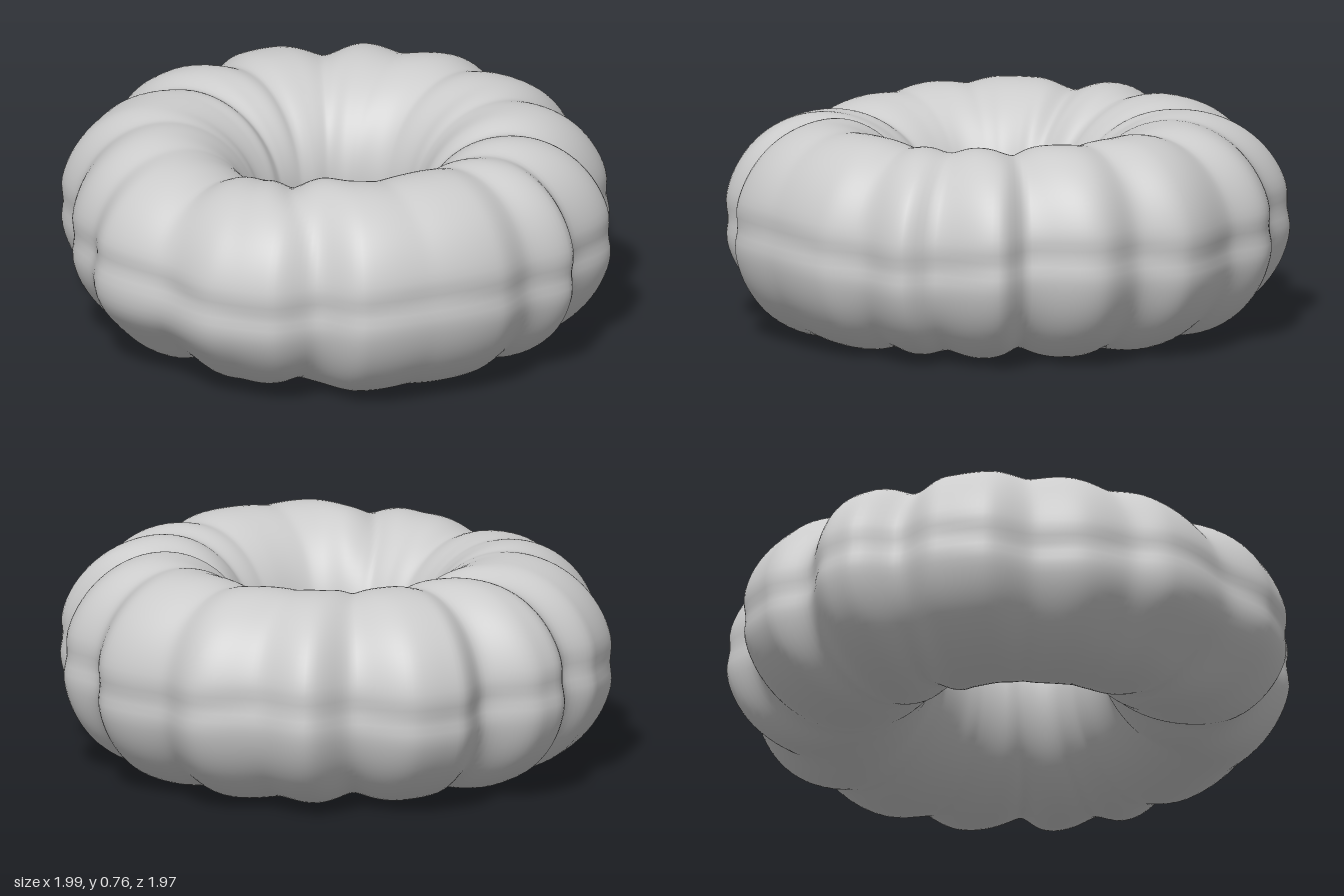
import * as THREE from 'three';

const TAU = Math.PI * 2;
const DEG = Math.PI / 180;

// Lumpy plan outlines as [x, z] points
const OUTER = [
  [.14, -.99], [.3, -.89], [.49, -.87], [.65, -.66], [.79, -.64], [.87, -.4], [.965, -.32], [.96, -.13],
  [1, .03], [.95, .29], [.86, .53], [.69, .63], [.61, .79], [.43, .9], [.19, .93], [-.11, .975],
  [-.26, .9], [-.41, .86], [-.56, .73], [-.74, .65], [-.84, .49], [-.85, .34], [-.99, .19], [-1, .11],
  [-.91, -.09], [-.965, -.25], [-.925, -.4], [-.735, -.56], [-.69, -.75], [-.5, -.82], [-.32, -.96], [-.13, -.95],
];
const INNER = [
  [.33, 0], [.31, -.13], [.19, -.23], [.07, -.285], [-.06, -.28], [-.16, -.19], [-.21, -.08],
  [-.21, .08], [-.18, .18], [-.1, .27], [.01, .29], [.17, .24], [.31, .14],
];

// Creases between lobes: outer angle, inner angle (degrees), depth
const SEAMS = [
  [-71, -68, .018], [-45, -42, .038], [-25, -20, .028], [-8, -6, .025], [17, 25, .01], [43, 60, .04],
  [60, 72, .01], [80, 84, .035], [106, 106, .012], [128, 128, .014], [160, 167, .036], [186, 190, .028],
  [217, 214, .026], [239, 236, .012], [262, 260, .024],
];

const wrap = (a) => a - TAU * Math.round(a / TAU);
const bell = (t) => Math.exp(-(t * t));

// Returns radius as a smooth function of angle through the outline points
function polar(points) {
  const list = points
    .map(([x, z]) => ({ a: (Math.atan2(z, x) + TAU) % TAU, r: Math.hypot(x, z) }))
    .sort((p, q) => p.a - q.a);
  return (a) => {
    let i = list.findIndex((p) => p.a > a);
    if (i < 0) i = 0;
    const q = list[i], p = list[(i + list.length - 1) % list.length];
    const t = ((a - p.a + TAU) % TAU) / ((q.a - p.a + TAU) % TAU);
    return p.r + (q.r - p.r) * t * t * (3 - 2 * t);
  };
}

// Crease depth at ring angle a; f runs from the outer rim (0) to the hole (1)
function crease(a, f) {
  let depth = 0;
  for (const [outer, inner, d] of SEAMS) {
    const off = wrap(a - (outer + (inner - outer) * f) * DEG) / (.085 + .03 * f);
    depth += d * Math.exp(-Math.pow(Math.abs(off), 1.5));
  }
  return depth;
}

// Ring skin: closed cross-sections swept round the lumpy outlines
function ringGeometry(around = 288, section = 80) {
  const outerR = polar(OUTER), innerR = polar(INNER);
  const pos = [], index = [];
  for (let i = 0; i < around; i++) {
    const a = (i / around) * TAU;
    const ro = outerR(a), ri = innerR(a);
    const mid = (ro + ri) / 2, half = (ro - ri) / 2;
    const front = bell(wrap(a - 85 * DEG) / .45);
    for (let j = 0; j < section; j++) {
      const v = (j / section) * TAU;
      const c = Math.cos(v), s = Math.sin(v);
      const out = Math.max(c, 0), up = Math.max(s, 0);
      // creases are strongest over the top and bottom; the rims come from the outlines
      const cut = crease(a, (1 - c) / 2) * (.1 + .9 * s * s);
      // shallow, slightly wavy groove round the outer equator
      const groove = .014 * out * bell((s - .03 - .06 * Math.sin(5 * a)) / .13);
      // the front sags: lower on top, fuller below the equator, tucked in underneath
      const sag = front * out * (.015 * bell((s + .35) / .25) - .04 * bell((s + .8) / .3));
      const r = mid + c * (half - cut) - groove + sag;
      const y = .382 + s * (.381 - cut) - .04 * front * up;
      pos.push(r * Math.cos(a), y, r * Math.sin(a));
      const i2 = (i + 1) % around, j2 = (j + 1) % section;
      const p = i * section + j, q = i * section + j2;
      const m = i2 * section + j, n = i2 * section + j2;
      index.push(p, q, m, q, n, m);
    }
  }
  const geo = new THREE.BufferGeometry();
  geo.setAttribute('position', new THREE.Float32BufferAttribute(pos, 3));
  geo.setIndex(index);
  geo.computeVertexNormals();
  return geo;
}

export function createModel() {
  const group = new THREE.Group();
  group.name = 'lobedRing';
  const ring = new THREE.Mesh(ringGeometry(), new THREE.MeshStandardMaterial({ color: 0xcccccc }));
  ring.name = 'ringBody';
  group.add(ring);
  return group;
}
